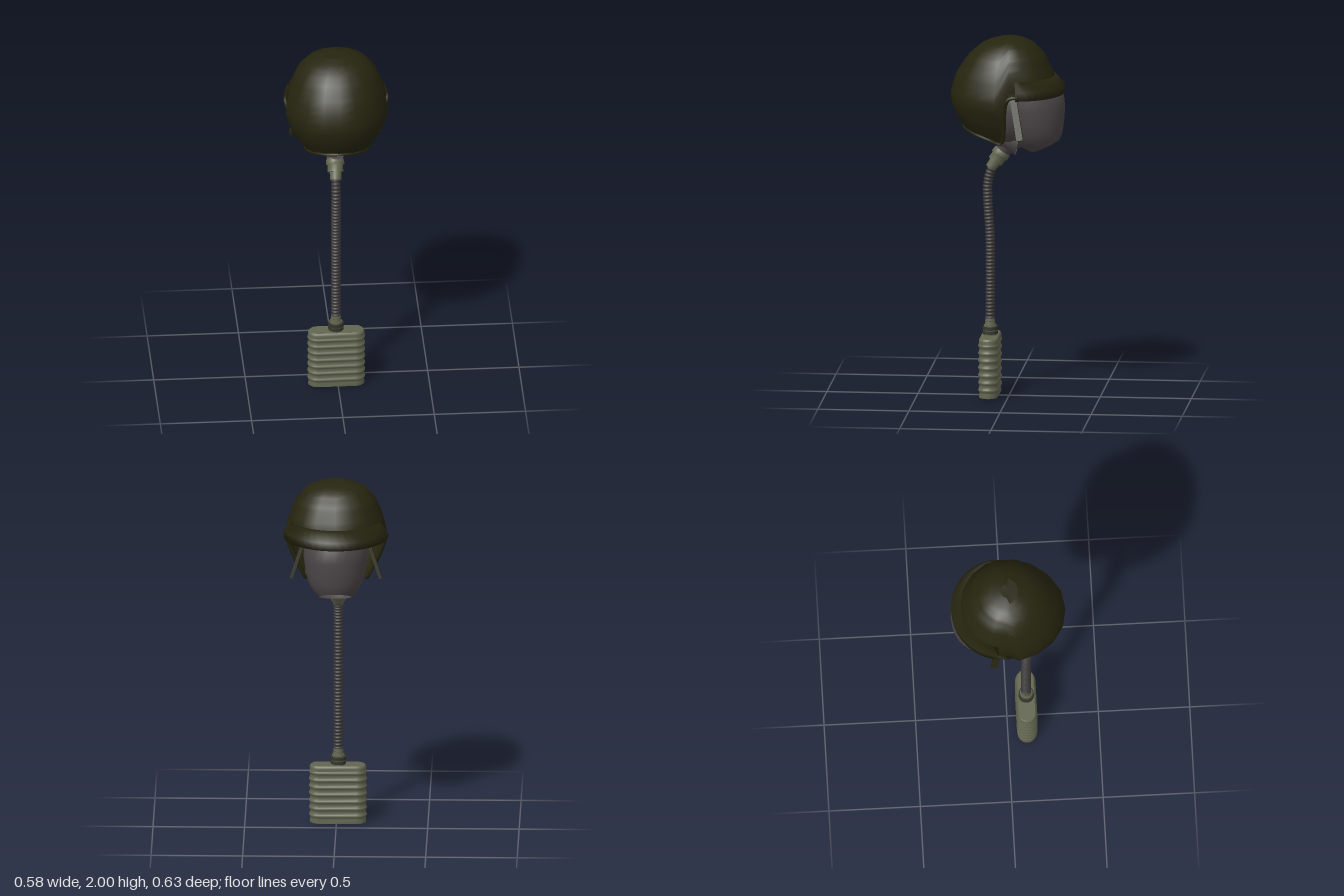
import * as THREE from 'three';

const V = (x, y, z) => new THREE.Vector3(x, y, z);

// Skin through closed rings of points, with optional flat caps
function loft(rings, capStart, capEnd) {
  const pos = [], idx = [], n = rings[0].length;
  rings.forEach(r => r.forEach(p => pos.push(p.x, p.y, p.z)));
  for (let i = 0; i < rings.length - 1; i++)
    for (let j = 0; j < n; j++) {
      const k = (j + 1) % n, a = i * n + j, b = i * n + k, c = b + n, d = a + n;
      idx.push(a, b, c, a, c, d);
    }
  const cap = (ring, flip) => {
    const s = pos.length / 3, m = V(0, 0, 0);
    ring.forEach(p => { m.add(p); pos.push(p.x, p.y, p.z); });
    m.divideScalar(n);
    pos.push(m.x, m.y, m.z);
    for (let j = 0; j < n; j++) {
      const k = (j + 1) % n;
      flip ? idx.push(s + n, s + k, s + j) : idx.push(s + n, s + j, s + k);
    }
  };
  if (capStart) cap(rings[0], true);
  if (capEnd) cap(rings[rings.length - 1], false);
  const g = new THREE.BufferGeometry();
  g.setAttribute('position', new THREE.Float32BufferAttribute(pos, 3));
  g.setIndex(idx);
  g.computeVertexNormals();
  return g;
}

// Circle around a centre, square to direction t (in the yz plane)
function circle(c, t, r, n = 14) {
  const u = V(1, 0, 0), v = t.clone().cross(u);
  return Array.from({ length: n }, (_, j) => {
    const a = j / n * Math.PI * 2;
    return c.clone().addScaledVector(u, r * Math.cos(a)).addScaledVector(v, r * Math.sin(a));
  });
}

// Horizontal ellipse, sheared by a slope along z
function ellipse(y, zc, rx, rz, slope = 0, n = 28) {
  return Array.from({ length: n }, (_, j) => {
    const a = j / n * Math.PI * 2, dz = -rz * Math.sin(a);
    return V(rx * Math.cos(a), y + slope * dz, zc + dz);
  });
}

// Helmet half-widths at height y: [y, side, back (+z), brow side (-z)]
const PROFILE = [
  [2.0, 0, 0, 0], [1.99, 0.09, 0.08, 0.08], [1.96, 0.16, 0.15, 0.14], [1.9, 0.215, 0.22, 0.2],
  [1.8, 0.258, 0.287, 0.25], [1.7, 0.28, 0.32, 0.275], [1.65, 0.288, 0.32, 0.28],
  [1.58, 0.26, 0.3, 0.27], [1.52, 0.237, 0.265, 0.25], [1.47, 0.205, 0.22, 0.2], [1.43, 0.17, 0.17, 0.15],
];
function helmetPoint(phi, y) {
  let i = 0;
  while (i < PROFILE.length - 2 && y < PROFILE[i + 1][0]) i++;
  const a = PROFILE[i], b = PROFILE[i + 1], f = (a[0] - y) / (a[0] - b[0]);
  const r = a.map((v, k) => v + (b[k] - v) * f);
  const c = Math.cos(phi);
  return V(r[1] * Math.sin(phi), y, c * (c > 0 ? r[2] : r[3]));
}

export function createModel() {
  const root = new THREE.Group();
  const mat = (name, color, side = THREE.FrontSide) => {
    const m = new THREE.MeshStandardMaterial({ color, side });
    m.name = name;
    return m;
  };
  const olive = mat('darkOlive', 0x26250f, THREE.DoubleSide);
  const rubber = mat('greyRubber', 0x4c4647, THREE.DoubleSide);
  const hoseDark = mat('hoseCharcoal', 0x3b3738);
  const metal = mat('greenGreyMetal', 0x62664f);
  const dark = mat('darkFitting', 0x34352b);
  const add = (name, geo, m, parent = root) => {
    const mesh = new THREE.Mesh(geo, m);
    mesh.name = name;
    parent.add(mesh);
    return mesh;
  };

  // Helmet shell: low over back and ears, cut high over the face
  const helmet = new THREE.Group();
  helmet.name = 'helmet';
  root.add(helmet);
  const half = [20, 40, 60, 80, 95, 115, 135, 155];
  const phis = [0, ...half, 180, ...half.map(d => 360 - d).reverse()];
  const bottom = d => {
    const s = Math.min(d, 360 - d);
    return s > 90 ? 1.7 : 1.5 - 0.07 * (s / 80) ** 1.5;
  };
  const rows = 14, shell = [];
  for (let i = rows; i >= 1; i--)
    shell.push(phis.map(d => helmetPoint(d * Math.PI / 180, 2 - (2 - bottom(d)) * (i / rows) ** 1.6)));
  add('helmetShell', loft(shell, false, true), olive, helmet);
  const rim = new THREE.CatmullRomCurve3(shell[0], true, 'centripetal');
  add('helmetRim', new THREE.TubeGeometry(rim, 100, 0.01, 6, true), olive, helmet);

  // Brow: a flared band over the face opening
  const brow = [];
  for (let i = 0; i <= 20; i++) {
    const a = (i / 20 - 0.5) * Math.PI * 0.86, f = Math.cos(a) ** 0.7;
    const at = (out, y) => {
      const p = helmetPoint(Math.PI - a, y), k = 1 + out * f;
      return V(p.x * k, y, p.z * k);
    };
    brow.push([at(0, 1.79), at(-0.12, 1.71), at(0.1, 1.69), at(0.15, 1.735)]);
  }
  add('helmetBrow', loft(brow, true, true), olive, helmet);

  // Chin strap tabs hanging at each side of the opening
  for (const s of [-1, 1]) {
    const strap = add('chinStrapTab', new THREE.BoxGeometry(0.018, 0.25, 0.036), olive, helmet);
    strap.position.set(s * 0.205, 1.58, -0.06);
    strap.rotation.set(0.2, 0, s * 0.32);
  }

  // Rubber hood with a tilted neck opening
  const mask = new THREE.Group();
  mask.name = 'mask';
  root.add(mask);
  add('maskHood', loft([
    ellipse(1.395, -0.2, 0.09, 0.078, -0.47), ellipse(1.425, -0.175, 0.125, 0.115, -0.3),
    ellipse(1.47, -0.15, 0.15, 0.145, -0.1), ellipse(1.53, -0.14, 0.165, 0.162), ellipse(1.61, -0.13, 0.175, 0.178),
    ellipse(1.69, -0.125, 0.175, 0.175), ellipse(1.76, -0.1, 0.155, 0.15), ellipse(1.83, -0.07, 0.1, 0.1),
  ], false, true), rubber, mask);

  // Face piece under the helmet
  const face = add('facePiece', new THREE.SphereGeometry(1, 24, 16), rubber, mask);
  face.scale.set(0.15, 0.2, 0.16);
  face.position.set(0, 1.6, 0);

  // Nose tube pointing out below the helmet's back edge
  const noseDir = V(0, 0.28, 1).normalize();
  add('noseTube', loft([[-0.06, 0.09], [0.04, 0.07], [0.1, 0.052], [0.2, 0.05]].map(([d, r]) =>
    circle(V(-0.01, 1.44, 0).addScaledVector(noseDir, d), noseDir, r, 18)), false, true), rubber, mask);

  // Funnel leading down into the hose fitting
  const down = V(0, -0.82, 0.57).normalize();
  const along = (d, r, n) => circle(V(-0.01, 1.46, -0.035).addScaledVector(down, d), down, r, n);
  add('hoseFunnel', loft([along(-0.06, 0.13, 18), along(0, 0.105, 18), along(0.05, 0.068, 18),
    along(0.09, 0.048, 18), along(0.14, 0.042, 18)]), rubber, mask);
  add('upperFitting', loft([along(0.12, 0.045), along(0.135, 0.05), along(0.155, 0.05), along(0.157, 0.043),
    along(0.195, 0.043)], true, true), metal);
  add('upperCollar', loft([along(0.19, 0.033), along(0.24, 0.03)], false, true), metal);

  // Ribbed hose
  const path = new THREE.CatmullRomCurve3([V(-0.01, 0.4, 0.105), V(-0.01, 0.65, 0.104), V(-0.01, 0.9, 0.106),
    V(-0.01, 1.05, 0.116), V(-0.01, 1.17, 0.118), V(-0.01, 1.24, 0.104), V(-0.01, 1.3, 0.075)]);
  const ribs = 46, hose = [];
  for (let i = 0; i <= ribs * 4; i++) {
    const u = i / (ribs * 4);
    hose.push(circle(path.getPointAt(u), path.getTangentAt(u), [0.02, 0.025, 0.028, 0.025][i % 4]));
  }
  add('ribbedHose', loft(hose), hoseDark);

  // Lower fitting: two stacked rings and a sleeve
  const cyl = (name, y0, y1, r0, r1, m) => {
    const c = add(name, new THREE.CylinderGeometry(r1, r0, y1 - y0, 20), m);
    c.position.set(-0.01, (y0 + y1) / 2, 0.105);
  };
  cyl('fittingBase', 0.325, 0.352, 0.038, 0.038, metal);
  cyl('fittingLowerRing', 0.34, 0.356, 0.042, 0.042, dark);
  cyl('fittingUpperRing', 0.362, 0.38, 0.042, 0.042, dark);
  cyl('fittingCore', 0.35, 0.39, 0.034, 0.034, metal);
  cyl('fittingSleeve', 0.385, 0.435, 0.03, 0.025, metal);

  // Filter canister: rounded slab with raised horizontal ribs
  const slab = (y, grow) => {
    const r = 0.048 + grow, flat = 0.103, out = [];
    for (const s of [1, -1])
      for (let k = 0; k <= 10; k++) {
        const a = Math.PI * (k / 10 - 0.5) + (s < 0 ? Math.PI : 0);
        out.push(V(-0.008 + s * flat + r * Math.cos(a), y, 0.105 - r * Math.sin(a)));
      }
    return out;
  };
  const can = [slab(0.003, 0), slab(0.006, 0.004)];
  for (let i = 0; i < 7; i++)
    for (const [d, g] of [[-0.02, 0.001], [-0.011, 0.002], [-0.006, 0.006], [0, 0.008], [0.006, 0.006], [0.011, 0.002]])
      can.push(slab(0.047 + i * 0.041 + d, g));
  can.push(slab(0.318, 0.004), slab(0.327, 0.002), slab(0.333, -0.004));
  add('filterCanister', loft(can, true, true), metal);
  cyl('canisterInlet', 0, 0.006, 0.034, 0.034, dark);

  return root;
}
